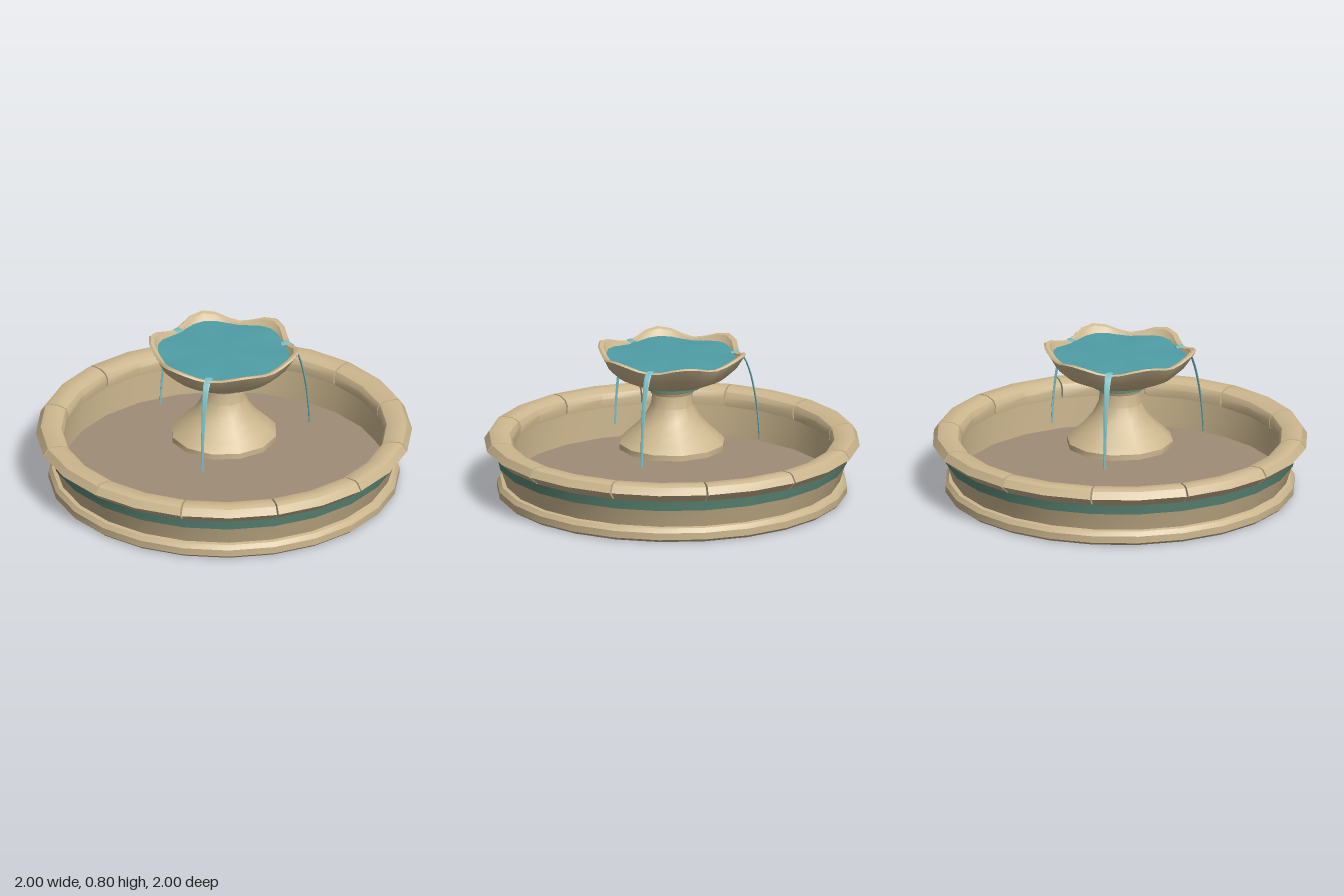
import * as THREE from 'three';
import { toCreasedNormals } from 'three/addons/utils/BufferGeometryUtils.js';

const DEG = Math.PI / 180;
const START = 12 * DEG; // angle of the first joint between rim stones

const material = (name, color) => {
  const m = new THREE.MeshStandardMaterial({ color });
  m.name = name;
  return m;
};

// Skin a list of equal-length cross-sections; optional closed rings and end caps.
function loft(sections, { ring = false, caps = false, crease = 0.6 } = {}) {
  const n = sections[0].length;
  const pos = [];
  const tri = (...pts) => pts.forEach((p) => pos.push(p.x, p.y, p.z));
  for (let i = 0; i < sections.length - 1; i++) {
    const s = sections[i], t = sections[i + 1];
    for (let j = 0; j < (ring ? n : n - 1); j++) {
      const k = (j + 1) % n;
      tri(s[j], s[k], t[j]);
      tri(s[k], t[k], t[j]);
    }
  }
  if (caps) {
    [sections[0], sections[sections.length - 1]].forEach((s, end) => {
      const c = new THREE.Vector3();
      s.forEach((p) => c.addScaledVector(p, 1 / n));
      for (let j = 0; j < n; j++) {
        const k = (j + 1) % n;
        if (end) tri(c, s[j], s[k]);
        else tri(c, s[k], s[j]);
      }
    });
  }
  const g = new THREE.BufferGeometry();
  g.setAttribute('position', new THREE.Float32BufferAttribute(pos, 3));
  return toCreasedNormals(g, crease);
}

// Sweep a [radius, height, scallop] profile around the y axis.
function revolve(profile, { from = START, to = START + 2 * Math.PI, sides = 24, ...rest } = {}) {
  const sections = [];
  for (let i = 0; i <= sides; i++) {
    const a = from + ((to - from) * i) / sides;
    const wave = Math.cos(6 * (a - START));
    sections.push(profile.map(([r, y, s = 0]) => {
      const rr = r + 0.022 * s * wave;
      return new THREE.Vector3(rr * Math.cos(a), y + 0.021 * s * wave, rr * Math.sin(a));
    }));
  }
  return loft(sections, rest);
}

export function createModel() {
  const stone = material('sandstone', 0xcdb88f);
  const floorStone = material('floor stone', 0x9f8d77);
  const glaze = material('green glaze', 0x5d8a78);
  const water = material('water', 0x4f9ea6);
  const spray = material('falling water', 0x7cc0c6);

  const model = new THREE.Group();
  model.name = 'fountain';
  const add = (name, geometry, mat, parent = model) => {
    const mesh = new THREE.Mesh(geometry, mat);
    mesh.name = name;
    parent.add(mesh);
    return mesh;
  };

  // Basin: underside, plinth and flared wall, glazed band, inner wall, floor
  add('underside', revolve([[0, 0], [0.915, 0]]), floorStone);
  add('plinthAndWall', revolve([
    [0.915, 0], [0.932, 0.015], [0.932, 0.052], [0.915, 0.075],
    [0.893, 0.078], [0.908, 0.125], [0.925, 0.176],
  ]), stone);
  add('glazedBand', revolve([[0.929, 0.176], [0.942, 0.235], [0.86, 0.24]]), glaze);
  add('innerWall', revolve([[0.86, 0.24], [0.86, 0.06]]), stone);
  add('basinFloor', revolve([[0.862, 0.065], [0, 0.065]]), floorStone);

  // Rim: twelve coping stones with narrow joints
  const rim = new THREE.Group();
  rim.name = 'rim';
  model.add(rim);
  const coping = [
    [0.855, 0.232], [0.945, 0.232], [1.0, 0.28], [0.975, 0.318],
    [0.955, 0.326], [0.9, 0.324], [0.865, 0.308], [0.85, 0.28],
  ];
  for (let i = 0; i < 12; i++) {
    const a = START + i * 30 * DEG;
    add('rimStone', revolve(coping, {
      from: a + 0.005, to: a + 30 * DEG - 0.005, sides: 2, ring: true, caps: true,
    }), stone, rim);
  }

  // Pedestal with a flared foot, and the collar under the bowl
  add('pedestal', revolve([
    [0, 0.255], [0.285, 0.255], [0.285, 0.285], [0.245, 0.325], [0.19, 0.375],
    [0.145, 0.43], [0.115, 0.49], [0.107, 0.56],
  ], { sides: 12 }), stone);
  add('neck', revolve([
    [0.1, 0.556], [0.115, 0.56], [0.122, 0.578], [0.145, 0.592], [0.1, 0.592],
  ]), stone);
  add('collar', revolve([[0.1, 0.59], [0.157, 0.592], [0.157, 0.612], [0.1, 0.614]]), glaze);

  // Scalloped bowl and its water
  add('bowl', revolve([
    [0, 0.608], [0.15, 0.61], [0.22, 0.626], [0.295, 0.66, 0.1], [0.35, 0.71, 0.4],
    [0.388, 0.775, 1], [0.378, 0.782, 1], [0.358, 0.775, 1],
    [0.335, 0.73, 0.5], [0.27, 0.68], [0, 0.65],
  ], { sides: 36 }), stone);
  add('bowlWater', revolve([[0.35, 0.753, 0.35], [0.2, 0.757], [0, 0.757]], { sides: 36 }), water);

  // Three streams falling from the low points of the bowl edge
  const path = new THREE.CatmullRomCurve3([
    [0.315, 0.757], [0.35, 0.765], [0.385, 0.735], [0.42, 0.65],
    [0.448, 0.52], [0.465, 0.38], [0.472, 0.27],
  ].map(([x, y]) => new THREE.Vector3(x, y, 0)));
  const sections = [];
  for (let i = 0; i <= 14; i++) {
    const t = i / 14;
    const p = path.getPointAt(t), d = path.getTangentAt(t);
    const up = new THREE.Vector3(-d.y, d.x, 0);
    const w = 0.007 + 0.014 * (1 - t) ** 2, h = 0.005;
    sections.push(Array.from({ length: 6 }, (_, j) => {
      const a = (j * Math.PI) / 3;
      return p.clone().addScaledVector(up, h * Math.sin(a))
        .add(new THREE.Vector3(0, 0, -w * Math.cos(a)));
    }));
  }
  const streamShape = loft(sections, { ring: true, caps: true, crease: 1.2 });
  for (const angle of [103, 223, 343]) {
    add('waterStream', streamShape, spray).rotation.y = -angle * DEG;
  }

  return model;
}
